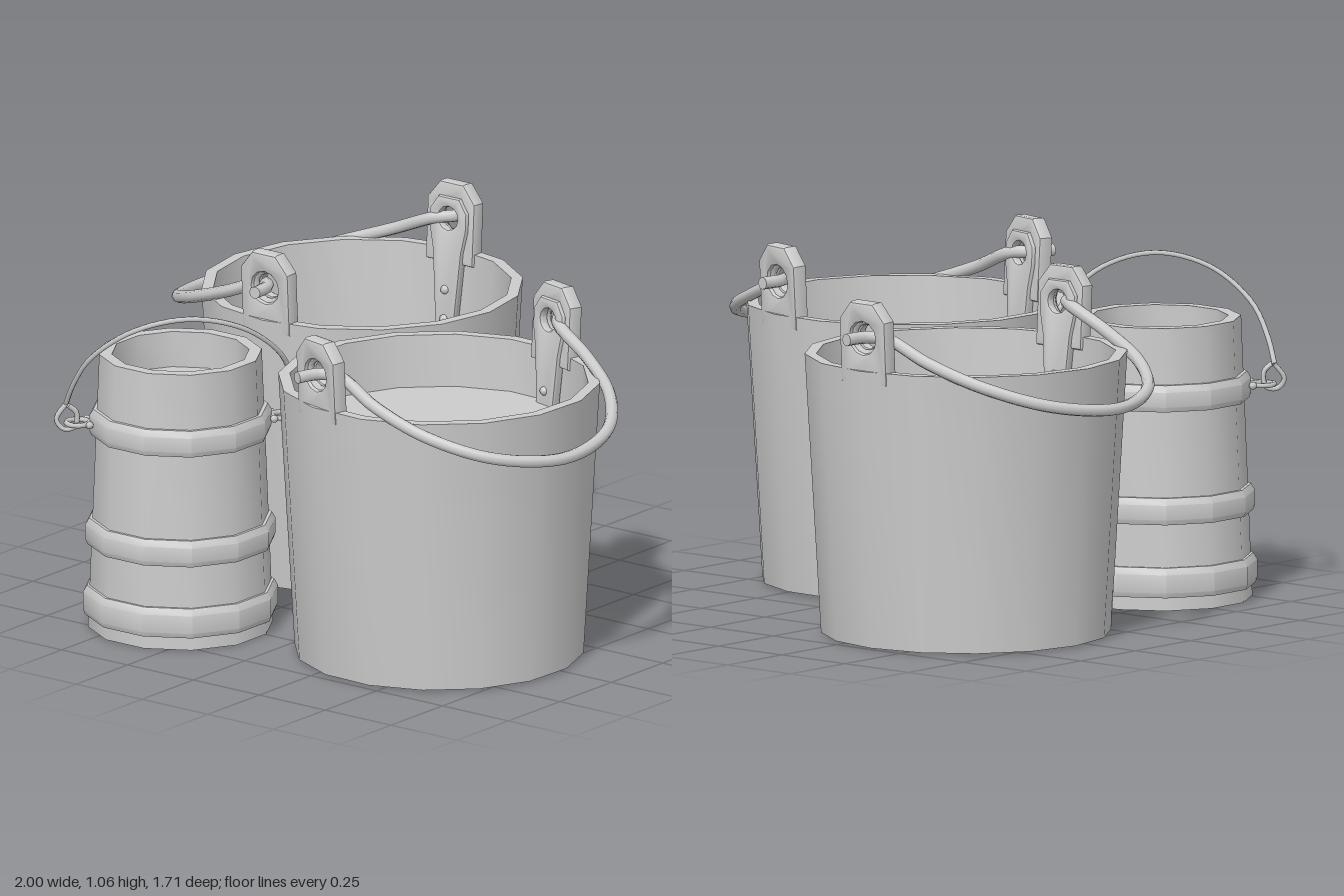
import * as THREE from 'three';
import { toCreasedNormals } from 'three/addons/utils/BufferGeometryUtils.js';

const grey = new THREE.MeshStandardMaterial({ color: 0xcccccc });
const greyThin = new THREE.MeshStandardMaterial({ color: 0xcccccc, side: THREE.DoubleSide });

function add(parent, name, geometry, material = grey) {
  const mesh = new THREE.Mesh(geometry, material);
  mesh.name = name;
  parent.add(mesh);
  return mesh;
}

function turned(points, sides) {
  const profile = points.map(([r, y]) => new THREE.Vector2(r, y));
  return toCreasedNormals(new THREE.LatheGeometry(profile, sides), 0.6);
}

// Closed-ended rod along a smooth path
function rod(parent, name, points, radius, steps, sides) {
  const curve = new THREE.CatmullRomCurve3(points.map((p) => new THREE.Vector3(...p)));
  add(parent, name, new THREE.TubeGeometry(curve, steps, radius, sides), greyThin);
  for (const t of [0, 1]) {
    const cap = add(parent, name + 'End', new THREE.CircleGeometry(radius, sides), greyThin);
    cap.position.copy(curve.getPointAt(t));
    cap.lookAt(cap.position.clone().add(curve.getTangentAt(t).multiplyScalar(t ? 1 : -1)));
  }
}

// Half a path mirrored across one axis (0 = x, 2 = z); the last point lies on the mirror plane
function mirrored(half, axis) {
  const other = half.slice(0, -1).reverse().map((p) => p.map((v, i) => (i === axis ? -v : v)));
  return [...half, ...other];
}

// Bevelled plate from the right half of a symmetric outline, with a round eye
function eyePlate(right, eyeRadius, depth) {
  const left = right.map(([x, y]) => [-x, y]).reverse();
  const shape = new THREE.Shape([...right, ...left].map(([x, y]) => new THREE.Vector2(x, y)));
  shape.holes.push(new THREE.Path().absarc(0, 0.1, eyeRadius, 0, Math.PI * 2, true));
  const plate = new THREE.ExtrudeGeometry(shape, {
    depth, bevelThickness: 0.01, bevelSize: 0.01, bevelSegments: 2, curveSegments: 6,
  });
  plate.translate(0, 0, -depth / 2);
  return toCreasedNormals(plate, 0.6);
}

// Lug: chamfered eye plate with a narrow riveted strap down the inside of the wall
function createLug() {
  const lug = new THREE.Group();
  lug.name = 'lug';
  add(lug, 'lugPlate', eyePlate([[0.08, -0.03], [0.08, 0.15], [0.04, 0.198]], 0.06, 0.03));
  const strap = add(lug, 'lugStrap', eyePlate([
    [0.012, -0.265], [0.025, -0.24], [0.045, 0], [0.06, 0.07], [0.06, 0.12], [0.035, 0.155],
  ], 0.045, 0.012));
  strap.position.z = -0.022;
  const ring = add(lug, 'eyeRing', new THREE.TorusGeometry(0.053, 0.014, 6, 14));
  ring.position.set(0, 0.1, 0);
  for (const y of [-0.12, -0.21]) {
    const rivet = add(lug, 'rivet', new THREE.SphereGeometry(0.014, 8, 6));
    rivet.position.set(0, y, -0.037);
  }
  return lug;
}

// Bucket filled to a given height, its handle resting toward local +x
function createBucket(fillHeight) {
  const bucket = new THREE.Group();
  bucket.name = 'bucket';
  const sides = 16;
  add(bucket, 'bucketBody', turned([
    [0, 0.03], [0.405, 0.03], [0.405, 0.005], [0.435, 0.005], [0.484, 0.85],
    [0.449, 0.85], [0.403, 0.05], [0, 0.05],
  ], sides));

  const surface = new THREE.CircleGeometry(0.402 + 0.056 * fillHeight, sides);
  surface.rotateX(-Math.PI / 2);
  add(bucket, 'liquidSurface', surface, greyThin).position.y = fillHeight;

  // Lugs on opposite sides
  for (const s of [1, -1]) {
    const side = new THREE.Group();
    side.name = 'lugSide';
    side.rotation.y = s > 0 ? 0 : Math.PI;
    const lug = createLug();
    lug.position.set(0, 0.85, 0.446);
    lug.rotation.x = 0.055;
    side.add(lug);
    bucket.add(side);
  }

  // Lowered handle with its ends pushed through the eyes
  rod(bucket, 'bucketHandle', mirrored([
    [-0.01, 0.95, 0.535], [0, 0.95, 0.46], [0.05, 0.945, 0.42], [0.2, 0.885, 0.407],
    [0.38, 0.82, 0.35], [0.53, 0.765, 0.215], [0.595, 0.74, 0],
  ], 2), 0.019, 60, 8);
  return bucket;
}

// Tall banded pail with a raised wire bail
function createPail() {
  const pail = new THREE.Group();
  pail.name = 'pail';
  const sides = 12;
  add(pail, 'pailBody', turned([
    [0, 0.02], [0.25, 0.02], [0.25, 0], [0.279, 0], [0.245, 0.85],
    [0.207, 0.85], [0.207, 0.74], [0, 0.74],
  ], sides));

  // Hoops
  for (const [y, h, r] of [[0.04, 0.09, 0.294], [0.26, 0.08, 0.287], [0.6, 0.08, 0.275]]) {
    add(pail, 'hoop', turned([
      [r - 0.035, y], [r - 0.006, y], [r, y + 0.015], [r, y + h - 0.02], [r - 0.012, y + h], [r - 0.045, y + h],
    ], sides));
  }

  // Wire ears with hooked bail ends
  for (const s of [1, -1]) {
    const ear = add(pail, 'wireEar', new THREE.TorusGeometry(0.035, 0.008, 6, 12));
    ear.position.set(s * 0.31, 0.64, 0);
    ear.rotation.x = Math.PI / 2;
    for (const e of [1, -1]) {
      const staple = add(pail, 'stapleEnd', new THREE.SphereGeometry(0.012, 6, 5));
      staple.position.set(s * 0.278, 0.64, e * 0.035);
    }
    rod(pail, 'bailHook', [
      [s * 0.345, 0.7, 0], [s * 0.375, 0.655, 0.005], [s * 0.355, 0.625, 0.01],
      [s * 0.32, 0.63, 0.012], [s * 0.315, 0.675, 0.015], [s * 0.34, 0.7, 0.018],
    ], 0.008, 20, 6);
  }
  rod(pail, 'wireBail', mirrored([
    [0.345, 0.7, 0], [0.33, 0.77, 0.045], [0.285, 0.87, 0.105], [0.165, 0.97, 0.17], [0, 1.01, 0.195],
  ], 0), 0.008, 40, 6);
  return pail;
}

export function createModel() {
  const model = new THREE.Group();
  model.name = 'bucketSet';

  const backBucket = createBucket(0.47);
  backBucket.position.set(-0.39, 0, -0.32);
  backBucket.rotation.y = Math.PI;

  const frontBucket = createBucket(0.69);
  frontBucket.position.set(0.388, 0, 0.303);
  frontBucket.rotation.y = -0.234;

  const pail = createPail();
  pail.position.set(-0.387, 0, 0.567);
  pail.rotation.y = Math.PI / 4;

  model.add(backBucket, frontBucket, pail);
  return model;
}
